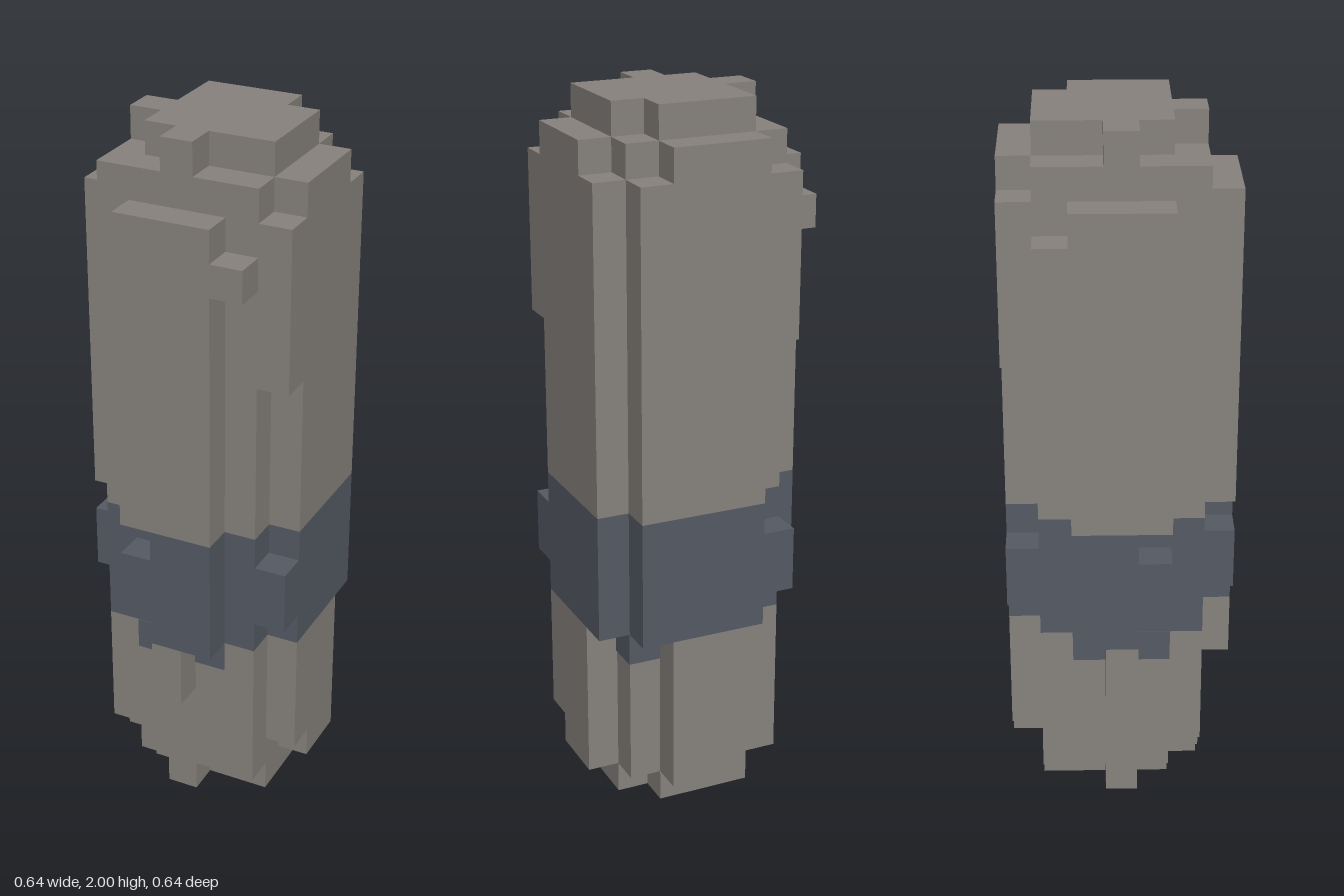
import * as THREE from 'three';

const U = 1 / 11;            // edge of one block; the model is 22 blocks tall
const BAND = [6, 10];        // block rows covered by the dark band

export function createModel() {
  const model = new THREE.Group();
  model.name = 'blockPillar';
  const stone = new THREE.MeshStandardMaterial({ color: 0x87827d });
  stone.name = 'warm grey stone';
  const slate = new THREE.MeshStandardMaterial({ color: 0x555a64 });
  slate.name = 'dark slate';

  const part = (name) => {
    const g = new THREE.Group();
    g.name = name;
    model.add(g);
    return g;
  };

  // Box between block edges; x and z count from the centre block, y from the ground
  const box = (group, material, x0, x1, y0, y1, z0, z1) => {
    const mesh = new THREE.Mesh(
      new THREE.BoxGeometry((x1 - x0) * U, (y1 - y0) * U, (z1 - z0) * U), material);
    mesh.position.set((x0 + x1) / 2 * U, (y0 + y1) / 2 * U, (z0 + z1) / 2 * U);
    mesh.name = group.name + (material === slate ? 'Band' : 'Stone');
    group.add(mesh);
  };

  // Run of whole blocks (inclusive x and z, rows y0 up to y1), split where the band crosses it
  const blocks = (group, x0, x1, y0, y1, z0, z1) => {
    const cuts = [y0, ...BAND.filter((y) => y > y0 && y < y1), y1];
    for (let i = 0; i < cuts.length - 1; i++) {
      const dark = cuts[i] >= BAND[0] && cuts[i] < BAND[1];
      box(group, dark ? slate : stone,
        x0 - 0.5, x1 + 0.5, cuts[i], cuts[i + 1], z0 - 0.5, z1 + 0.5);
    }
  };

  // Same blocks plus their twin across the diagonal plane x = -z
  const twin = (group, other, x0, x1, y0, y1, z0, z1) => {
    blocks(group, x0, x1, y0, y1, z0, z1);
    blocks(other, -z1, -z0, y0, y1, -x1, -x0);
  };

  // Square core with one chipped lower corner
  const core = part('core');
  blocks(core, -2, 2, 2, 21, -2, 2);
  blocks(core, -2, 2, 1, 2, -2, 1);
  blocks(core, -1, 2, 1, 2, 2, 2);

  // Ragged caps at the foot and the top
  for (const [name, y] of [['foot', 0], ['crown', 21]]) {
    const cap = part(name);
    blocks(cap, -1, 1, y, y + 1, -1, 1);
    twin(cap, cap, 2, 2, y, y + 1, -1, 1);
    twin(cap, cap, 0, 0, y, y + 1, 2, 2);
  }

  // Narrow slabs: front, and its twin on the -x side
  const front = part('frontSlab'), minusX = part('rightSlab');
  for (const [x, y0, y1] of [[-1, 7, 9], [-1, 10, 20], [0, 4, 20], [1, 6, 20], [2, 18, 19]]) {
    twin(front, minusX, x, x, y0, y1, 3, 3);
  }

  // Wide slabs: +x side, and its twin on the back
  const plusX = part('leftSlab'), back = part('backSlab');
  for (const [z0, z1, y0, y1] of [
    [-1, 0, 1, 21], [1, 1, 2, 21], [2, 2, 7, 9], [2, 2, 15, 20], [-2, -2, 6, 20]]) {
    twin(plusX, back, 3, 3, y0, y1, z0, z1);
  }

  // Thin dark drips on the core just below the band
  const drips = part('bandDrips');
  const T = 0.03;
  for (const x of [-1, 1]) {
    box(drips, slate, x - 0.5, x + 0.5, 5, 6, 2.5, 2.5 + T);
    box(drips, slate, -2.5 - T, -2.5, 5, 6, -x - 0.5, -x + 0.5);
  }
  box(drips, slate, 2.5, 2.5 + T, 5, 6, -2.5 - T, -1.5);
  box(drips, slate, 1.5, 2.5, 5, 6, -2.5 - T, -2.5);

  return model;
}
